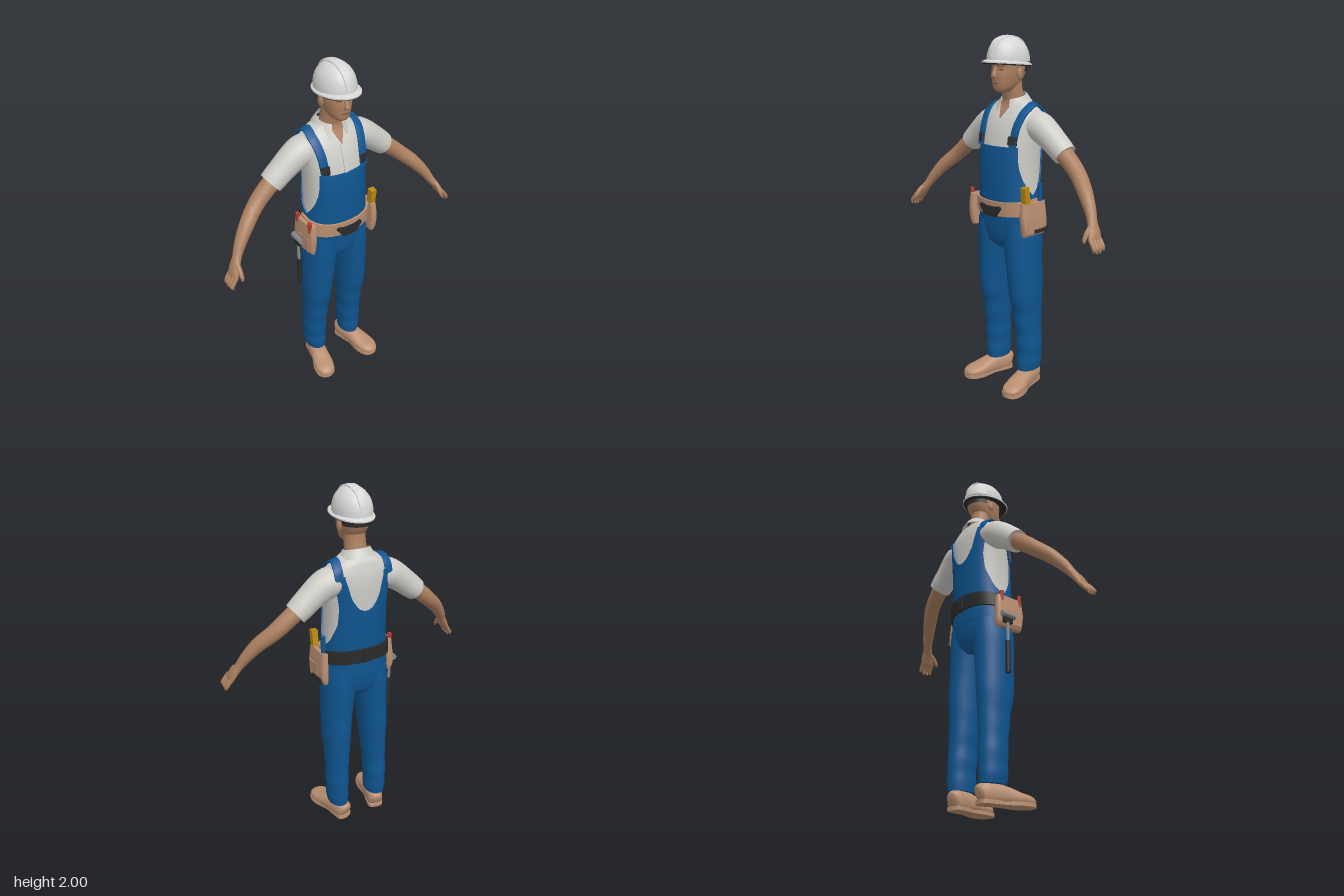
import * as THREE from 'three';
import { toCreasedNormals } from 'three/addons/utils/BufferGeometryUtils.js';

const V = (x, y, z) => new THREE.Vector3(x, y, z);
const mat = (name, color) => new THREE.MeshStandardMaterial({ name, color, side: THREE.DoubleSide });
const spow = (v, e) => Math.sign(v) * Math.abs(v) ** e;
const lerp = THREE.MathUtils.lerp;

// Catmull-Rom smoothing of rows of numbers
function smooth(rows, sub) {
  const out = [], at = i => rows[Math.max(0, Math.min(rows.length - 1, i))];
  for (let i = 0; i < rows.length - 1; i++)
    for (let k = 0; k < sub; k++) {
      const t = k / sub, [a, b, c, d] = [at(i - 1), at(i), at(i + 1), at(i + 2)];
      out.push(b.map((_, j) => 0.5 * (2 * b[j] + (c[j] - a[j]) * t +
        (2 * a[j] - 5 * b[j] + 4 * c[j] - d[j]) * t * t + (3 * b[j] - a[j] - 3 * c[j] + d[j]) * t ** 3)));
    }
  out.push(at(rows.length));
  return out;
}

function build(pos, idx) {
  const g = new THREE.BufferGeometry();
  g.setAttribute('position', new THREE.Float32BufferAttribute(pos, 3));
  g.setIndex(idx);
  return toCreasedNormals(g, 0.9);
}

// Closed skin over rows [x, y, z, radiusA, radiusB]; radiusB lies along ref
function loft(rows, { n = 20, e = 1, sub = 4, flat = false, ref = [0, 0, 1], rule } = {}) {
  const r = smooth(rows, sub), pos = [], idx = [], put = p => { if (rule) rule(p); pos.push(p.x, p.y, p.z); };
  r.forEach((q, i) => {
    const p0 = r[Math.max(0, i - 1)], p1 = r[Math.min(r.length - 1, i + 1)];
    const t = flat ? V(0, 1, 0) : V(p1[0] - p0[0], p1[1] - p0[1], p1[2] - p0[2]).normalize();
    const b = V(...ref); b.addScaledVector(t, -b.dot(t)).normalize();
    const a = b.clone().cross(t);
    for (let j = 0; j < n; j++) {
      const f = j / n * Math.PI * 2;
      put(V(q[0], q[1], q[2]).addScaledVector(a, q[3] * spow(Math.cos(f), e)).addScaledVector(b, q[4] * spow(Math.sin(f), e)));
    }
  });
  const L = r.length, c0 = L * n, last = (L - 1) * n;
  put(V(...r[0])); put(V(...r[L - 1]));
  for (let j = 0; j < n; j++) {
    const k = (j + 1) % n;
    for (let i = 0; i < L - 1; i++) {
      const o = i * n, u = o + n;
      idx.push(o + j, o + k, u + j, o + k, u + k, u + j);
    }
    idx.push(c0, k, j, c0 + 1, last + j, last + k);
  }
  return build(pos, idx);
}

// Sheet from fn(u, v, isRim), with a turned-in rim
function sheet(fn, nu, nv) {
  const pos = [], idx = [], w = nu + 3;
  for (let i = 0; i < nv + 3; i++) for (let j = 0; j < w; j++) {
    const u = Math.max(0, Math.min(1, (j - 1) / nu)), v = Math.max(0, Math.min(1, (i - 1) / nv));
    const p = fn(u, v, j === 0 || i === 0 || j === w - 1 || i === nv + 2);
    pos.push(p.x, p.y, p.z);
    if (i < nv + 2 && j < w - 1) { const o = i * w + j; idx.push(o, o + 1, o + w, o + 1, o + w + 1, o + w); }
  }
  return build(pos, idx);
}

// Rows [y, halfWidth, zFront, zBack] to loft rows
const bodyRows = a => a.map(([y, rx, f, b]) => [0, y, (f + b) / 2, rx, (f - b) / 2]);
const table = (t, y) => {
  let i = 0; while (i < t.length - 2 && y > t[i + 1][0]) i++;
  const k = THREE.MathUtils.clamp((y - t[i][0]) / (t[i + 1][0] - t[i][0]), 0, 1);
  return lerp(t[i][1], t[i + 1][1], k);
};
// Point finder on a horizontal-ring body; angle 0 is the front, pi/2 is +x
function surface(rows, e) {
  const r = smooth(rows, 6), col = c => r.map(q => [q[1], q[c]]), cz = col(2), rx = col(3), rz = col(4);
  const S = (th, y, off = 0) => V(table(rx, y) * spow(Math.sin(th), e) + off * Math.sin(th), y,
    table(cz, y) + table(rz, y) * spow(Math.cos(th), e) + off * Math.cos(th));
  S.angle = (x, y) => Math.asin(Math.min(1, x / table(rx, y)) ** (1 / e));
  S.patch = (fn, off, nu, nv) => sheet((u, v, rim) => { const [th, y] = fn(u, v); return S(th, y, rim ? -0.003 : off); }, nu, nv);
  return S;
}

export function createModel() {
  const root = new THREE.Group(); root.name = 'worker';
  const blue = mat('overallBlue', 0x0f5590), shirt = mat('shirtGrey', 0xcdcbc5), white = mat('helmetWhite', 0xd6d6d4),
    skin = mat('skin', 0xac8060), leather = mat('leather', 0xba8f71), black = mat('black', 0x2c2b2b),
    yellow = mat('yellow', 0xbb8a12), red = mat('red', 0xb83a2e), steel = mat('steel', 0x85878a), brown = mat('brown', 0x6e4c38);
  const add = (name, g, m, x = 0, y = 0, z = 0) => {
    const o = new THREE.Mesh(g, m); o.name = name; o.position.set(x, y, z); root.add(o); return o;
  };
  const box = (w, h, d) => new THREE.BoxGeometry(w, h, d);
  const rod = (r, h) => new THREE.CylinderGeometry(r, r, h, 14);
  const ball = (name, m, p, s) => add(name, new THREE.SphereGeometry(1, 16, 12), m, ...p).scale.set(...s);

  // Shirt body
  const E = 0.85, torso = bodyRows([[1.0, .184, .105, -.15], [1.1, .178, .113, -.15], [1.2, .171, .115, -.157], [1.3, .169, .115, -.162],
    [1.4, .172, .107, -.165], [1.5, .18, .083, -.165], [1.56, .188, .058, -.16], [1.6, .172, .034, -.15], [1.635, .13, .012, -.138], [1.66, .085, .008, -.115]]);
  const S = surface(torso, E);
  add('shirtBody', loft(torso, { n: 40, e: E, flat: true, sub: 6 }), shirt);
  add('neckOpening', S.patch((u, v) => { const y = lerp(1.565, 1.658, v); return [(2 * u - 1) * S.angle(.045 * v, y), y]; }, .006, 6, 8), skin);
  add('placket', S.patch((u, v) => { const y = lerp(1.4, 1.565, v); return [(2 * u - 1) * S.angle(.013, y), y]; }, .004, 2, 8), shirt);
  add('collar', sheet((u, v, rim) => {
    const th = lerp(.42, Math.PI * 2 - .42, u), c = (1 - Math.cos(th)) / 2, k = rim ? .96 : 1;
    return V(lerp(.108, .074, v) * k * Math.sin(th), lerp(lerp(1.595, 1.66, c), lerp(1.665, 1.7, c), v), -.05 + lerp(.095, .068, v) * k * Math.cos(th));
  }, 28, 3), shirt);

  // Overalls: hips, bib, back panel
  add('hips', loft(bodyRows([[.84, .1, .05, -.1], [.88, .165, .092, -.135], [.95, .19, .105, -.15], [1.02, .192, .11, -.154], [1.1, .186, .118, -.155]]), { n: 36, e: E, flat: true }), blue);
  const half = Math.PI / 2 + .02;
  const bibEdge = [[1.15, half], [1.19, 1.36], [1.24, 1.15], [1.3, 1.0], [1.36, .92], [1.42, .89]];
  const backEdge = [[1.15, half], [1.2, 1.25], [1.3, .93], [1.4, .86], [1.48, .92], [1.58, 1.03]];
  const backV = [[1.37, 0], [1.39, .2], [1.45, .42], [1.58, .6]];
  add('bib', S.patch((u, v) => { const y = lerp(1.0, 1.42, v); return [(2 * u - 1) * table(bibEdge, y), y]; }, .009, 28, 24), blue);
  add('backPanel', S.patch((u, v) => { const y = lerp(1.0, 1.375, v); return [Math.PI + (2 * u - 1) * table(backEdge, y), y]; }, .009, 28, 22), blue);

  // Belt: leather front, black back
  const belt = (a, b) => S.patch((u, v) => { const th = lerp(a, b, u); return [th, 1.0575 - .0175 * Math.cos(th) + .08 * v]; }, .021, 28, 2);
  add('beltFront', belt(-1.75, 1.75), leather);
  add('beltBack', belt(1.75, Math.PI * 2 - 1.75), black);
  const plate = new THREE.Shape([[-.072, 1.1], [-.08, 1.085], [-.042, 1.035], [.042, 1.035], [.08, 1.085], [.072, 1.1], [.03, 1.092], [-.03, 1.092]].map(p => new THREE.Vector2(...p)));
  add('buckle', new THREE.ExtrudeGeometry(plate, { depth: .018, bevelEnabled: false }), black, 0, 0, .122);
  add('backBuckle', box(.035, .07, .01), black, 0, 1.115, -.178);

  // Paired parts
  for (const s of [1, -1]) {
    const side = s > 0 ? 'left' : 'right', m = rows => rows.map(([x, ...q]) => [x * s, ...q]);
    // Straps and clips
    add(side + 'BackStrap', S.patch((u, v) => {
      const y = lerp(1.37, 1.575, v), w = s > 0 ? 1 - u : u;
      return [Math.PI - s * lerp(table(backV, y), table(backEdge, y), w), y];
    }, .009, 6, 12), blue);
    const onBody = (x, y, back) => { const a = S.angle(x, y), p = S(back ? Math.PI - a : a, y, .006); return [p.x, y, p.z, .007, .025]; };
    add(side + 'Strap', loft(m([onBody(.115, 1.415), onBody(.117, 1.47), onBody(.122, 1.53), onBody(.131, 1.59), onBody(.135, 1.618), [.137, 1.643, -.065, .007, .025],
      onBody(.137, 1.618, true), onBody(.139, 1.59, true), onBody(.14, 1.55, true)]), { n: 12, e: .5, ref: [s, -.3, 0] }), blue);
    const c = S(S.angle(.113, 1.455), 1.455, .013);
    const clip = add(side + 'Clip', box(.05, .045, .014), black, c.x * s, c.y, c.z);
    clip.rotation.set(-.15, s * .5, 0);

    // Legs and shoes
    add(side + 'Leg', loft(m([[.1, 1.0, -.021, .088, .12], [.1, .9, -.021, .097, .122], [.107, .8, -.022, .09, .118], [.114, .7, -.024, .084, .115], [.119, .6, -.028, .08, .112],
      [.12, .53, -.031, .077, .104], [.121, .47, -.038, .071, .094], [.123, .4, -.041, .069, .091], [.126, .33, -.047, .064, .084], [.127, .26, -.05, .067, .085],
      [.128, .2, -.052, .062, .081], [.128, .15, -.051, .063, .083], [.126, .1, -.052, .056, .078]]), { n: 28, e: .95, flat: true }), blue);
    const foot = new THREE.Group(); foot.name = side + 'Shoe';
    foot.position.set(.126 * s, 0, -.04); foot.rotation.y = s * .23; root.add(foot);
    foot.add(add(side + 'ShoeUpper', loft([[0, .045, -.09, .028, .04], [0, .05, -.07, .046, .055], [0, .052, 0, .05, .058], [0, .046, .07, .054, .048],
      [0, .037, .13, .06, .036], [0, .032, .18, .055, .03], [0, .026, .212, .036, .02], [0, .022, .222, .015, .01]], { ref: [0, 1, 0], e: .85, n: 24, rule: p => { p.y = Math.max(p.y, .01); } }), leather));
    const sole = new THREE.Shape();
    sole.setFromPoints(new THREE.SplineCurve([[0, -.095], [.042, -.08], [.046, -.02], [.044, .05], [.061, .13], [.05, .2], [0, .227], [-.05, .2], [-.061, .13], [-.044, .05], [-.046, -.02], [-.042, -.08], [0, -.095]]
      .map(p => new THREE.Vector2(p[0], -p[1]))).getPoints(48));
    const soleMesh = add(side + 'Sole', new THREE.ExtrudeGeometry(sole, { depth: .02, bevelEnabled: false }), leather);
    soleMesh.rotation.x = -Math.PI / 2; foot.add(soleMesh);

    // Sleeve, arm and hand
    add(side + 'Sleeve', loft(m([[.09, 1.538, -.063, .075, .08], [.17, 1.527, -.063, .081, .084], [.225, 1.5, -.063, .077, .077], [.29, 1.452, -.064, .07, .07], [.33, 1.419, -.065, .067, .069], [.362, 1.393, -.065, .063, .066]]), { n: 24 }), shirt);
    add(side + 'Arm', loft(m([[.33, 1.42, -.062, .048, .052], [.41, 1.358, -.056, .046, .048], [.475, 1.302, -.042, .043, .045], [.55, 1.235, -.004, .039, .04], [.61, 1.163, .028, .031, .032],
      [.644, 1.11, .05, .023, .028], [.672, 1.068, .069, .02, .04], [.69, 1.033, .083, .015, .043], [.697, 1.015, .087, .008, .037]]), { n: 20 }), skin);
    for (let k = 0; k < 4; k++) {
      const z = .05 + k * .023, tip = [.976, .966, .966, .975][k] + .006;
      add(side + 'Finger' + (k + 1), loft(m([[.685, 1.045, z, .011, .011], [.71, 1.012, z + .004, .0115, .0115], [.72, .995, z + .006, .0105, .0105], [.724 - k * .003, tip, z + .007, .005, .005]]), { n: 10 }), skin);
    }
    add(side + 'Thumb', loft(m([[.66, 1.09, .085, .014, .014], [.663, 1.066, .115, .013, .013], [.665, 1.04, .134, .011, .011], [.667, 1.022, .141, .005, .005]]), { n: 10 }), skin);

    // Tool pouch
    add(side + 'Pouch', loft(m([[.2, .94, .0, .014, .082], [.204, .97, .0, .022, .088], [.203, 1.04, .005, .023, .092], [.198, 1.125, .005, .02, .085]]), { n: 28, e: .4, flat: true }), leather);
    add(side + 'PouchPocket', box(.014, .085, .1), leather, .222 * s, 1.0, .02);
  }

  // Tools on the left
  add('foldingRule', box(.034, .15, .036), yellow, .2, 1.14, .06).rotation.x = .12;
  add('blueHandle', rod(.014, .13), blue, .2, 1.155, -.05);
  add('pouchBar', box(.012, .018, .1), black, .233, .967, -.03);
  const ring = add('toolRing', new THREE.TorusGeometry(.014, .005, 8, 18), black, .235, .967, -.07);
  ring.rotation.y = Math.PI / 2;
  // Tools on the right
  add('pliersHandleFront', rod(.012, .13), red, -.21, 1.09, .07).rotation.z = .12;
  add('pliersHandleBack', rod(.012, .12), red, -.21, 1.09, -.055).rotation.z = .08;
  add('hammerHolder', box(.03, .05, .06), black, -.226, .98, -.03);
  add('hammerHead', rod(.017, .09), steel, -.235, 1.0, -.03).rotation.x = Math.PI / 2;
  add('hammerShaft', rod(.009, .2), steel, -.232, .91, -.03);
  add('hammerGrip', rod(.014, .18), black, -.23, .76, -.03);

  // Neck and head
  add('neck', loft([[0, 1.58, -.06, .07, .065], [0, 1.66, -.047, .062, .06], [0, 1.72, -.033, .058, .06], [0, 1.78, -.025, .058, .06]], { flat: true }), skin);
  const headRows = bodyRows([[1.703, .024, .066, .0], [1.714, .042, .083, -.03], [1.74, .058, .09, -.062], [1.77, .068, .093, -.09], [1.8, .075, .094, -.108], [1.83, .079, .09, -.116], [1.87, .082, .095, -.12], [1.9, .075, .085, -.11]]);
  const H = surface(headRows, .9);
  add('head', loft(headRows, { n: 32, e: .9, flat: true }), skin);
  add('nose', loft([[0, 1.84, .085, .008, .008], [0, 1.81, .096, .01, .012], [0, 1.788, .101, .016, .015], [0, 1.777, .094, .014, .008]], { flat: true, n: 14 }), skin);
  const mark = (name, m, x0, x1, y, h) => add(name, H.patch((u, v) => {
    const x = lerp(x0, x1, u); return [Math.sign(x) * H.angle(Math.abs(x), y), y + h * (v - .5) * Math.sin(Math.PI * (.1 + .8 * u))];
  }, .003, 8, 2), m);
  mark('mouth', brown, -.024, .024, 1.752, .005);
  for (const s of [1, -1]) {
    const side = s > 0 ? 'left' : 'right', x = s > 0 ? [.018, .052] : [-.052, -.018];
    mark(side + 'Brow', brown, ...x, 1.842, .007);
    mark(side + 'Eye', brown, x[0] + .005, x[1] - .005, 1.823, .007);
    ball(side + 'Ear', skin, [s * .08, 1.8, -.015], [.011, .031, .02]);
  }

  // Helmet
  const tilt = p => { p.y += (p.z - .1) * .07 * (p.y < 1.9 ? 1 : 0); };
  add('helmetShell', loft([[0, 1.862, -.006, .101, .132], [0, 1.9, -.006, .098, .127], [0, 1.94, -.005, .085, .11], [0, 1.972, -.003, .06, .08], [0, 1.988, -.002, .036, .05], [0, 1.995, 0, .008, .012]], { n: 36, flat: true }), white);
  const brim = (y, k) => [0, y, .004, .111 * k, .154 * k];
  add('helmetBrim', loft([brim(1.856, 1), brim(1.863, 1), brim(1.872, .88)], { n: 40, flat: true, sub: 1, rule: tilt }), white);
  add('helmetLining', loft([brim(1.85, .95), brim(1.856, .97)], { n: 40, flat: true, sub: 1, rule: tilt }), black);
  add('helmetRidge', loft([[0, 1.885, .122, .005, .02], [0, 1.935, .107, .006, .024], [0, 1.975, .073, .006, .026], [0, 1.994, 0, .006, .027], [0, 1.975, -.081, .006, .026], [0, 1.935, -.117, .006, .024], [0, 1.88, -.133, .005, .02]], { n: 14, e: .6, ref: [1, 0, 0] }), white);
  const band = add('helmetBand', new THREE.CylinderGeometry(1, .97, .045, 24, 1, true, Math.PI / 2 + .35, Math.PI - .7), black, 0, 1.832, -.012);
  band.scale.set(.087, 1, .113);

  return root;
}
